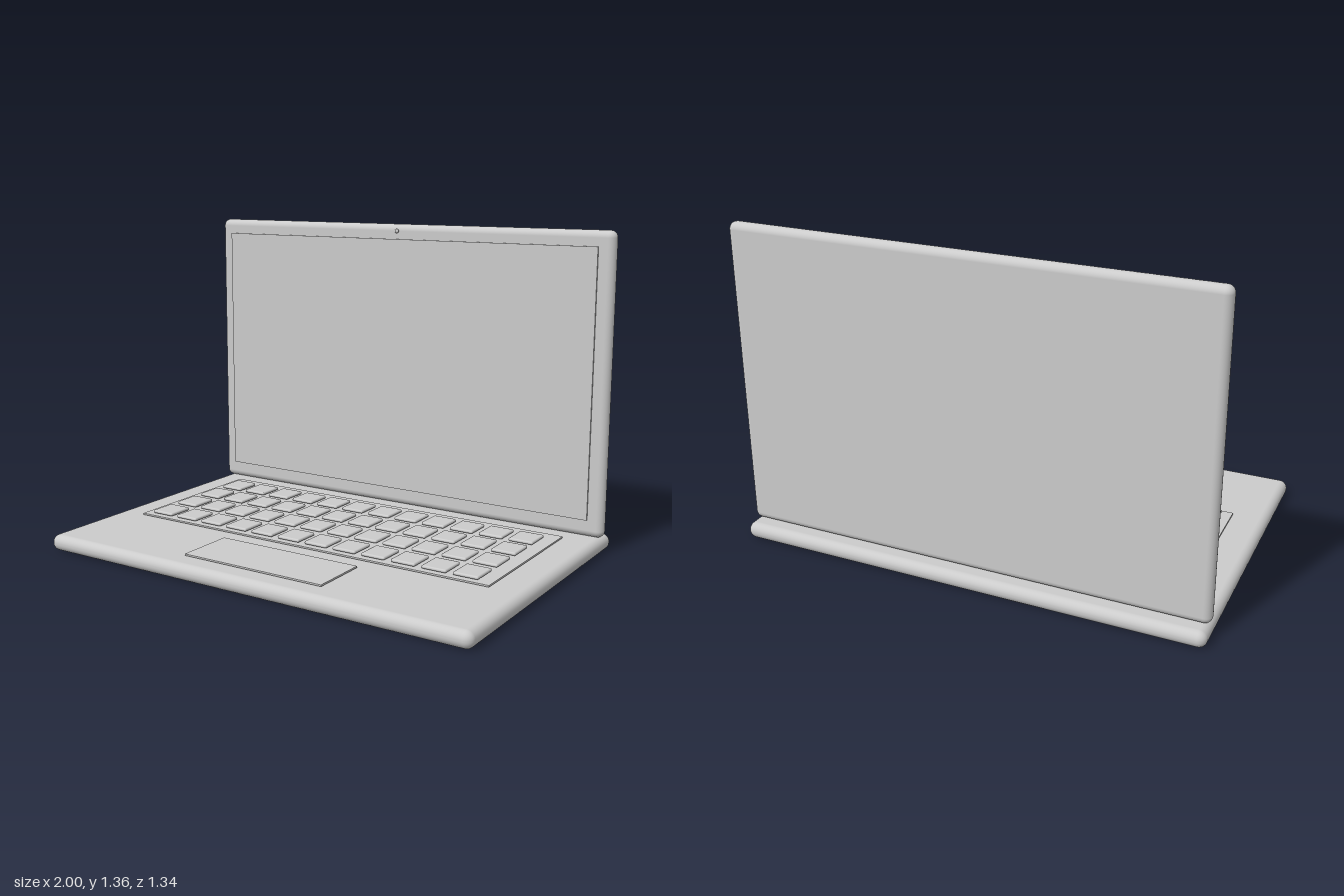
import * as THREE from 'three';
import { RoundedBoxGeometry } from 'three/addons/geometries/RoundedBoxGeometry.js';

const material = new THREE.MeshStandardMaterial({ color: 0xcccccc });

function addPart(parent, name, geometry, x, y, z) {
  const mesh = new THREE.Mesh(geometry, material);
  mesh.name = name;
  mesh.position.set(x, y, z);
  parent.add(mesh);
  return mesh;
}

export function createModel() {
  const laptop = new THREE.Group();
  laptop.name = 'laptop';

  // Lower body with fully rounded rim
  addPart(laptop, 'base', new RoundedBoxGeometry(2, 0.07, 1.34, 4, 0.034), 0, 0.035, 0);

  // Upright lid, screen panel and camera
  const lid = new THREE.Group();
  lid.name = 'lid';
  laptop.add(lid);
  addPart(lid, 'lidShell', new RoundedBoxGeometry(2, 1.293, 0.061, 4, 0.03), 0, 0.7165, -0.58);
  addPart(lid, 'screen', new THREE.BoxGeometry(1.87, 1.15, 0.007), 0, 0.722, -0.54);
  const camera = addPart(lid, 'camera', new THREE.SphereGeometry(0.01, 16, 12), 0, 1.334, -0.531);
  camera.scale.z = 0.55;

  // Thin panels on the deck
  addPart(laptop, 'keyboardTray', new THREE.BoxGeometry(1.714, 0.007, 0.712), 0, 0.078, -0.117);
  addPart(laptop, 'trackpad', new THREE.BoxGeometry(0.66, 0.007, 0.255), 0, 0.078, 0.449);

  // Keys: four rows of twelve
  const keys = new THREE.Group();
  keys.name = 'keys';
  laptop.add(keys);
  const keyGeometry = new RoundedBoxGeometry(0.109, 0.014, 0.122, 3, 0.0069);
  for (let row = 0; row < 4; row++) {
    for (let column = 0; column < 12; column++) {
      addPart(keys, 'key', keyGeometry, -0.759 + column * 0.1371, 0.092, -0.34 + row * 0.1667);
    }
  }

  return laptop;
}
